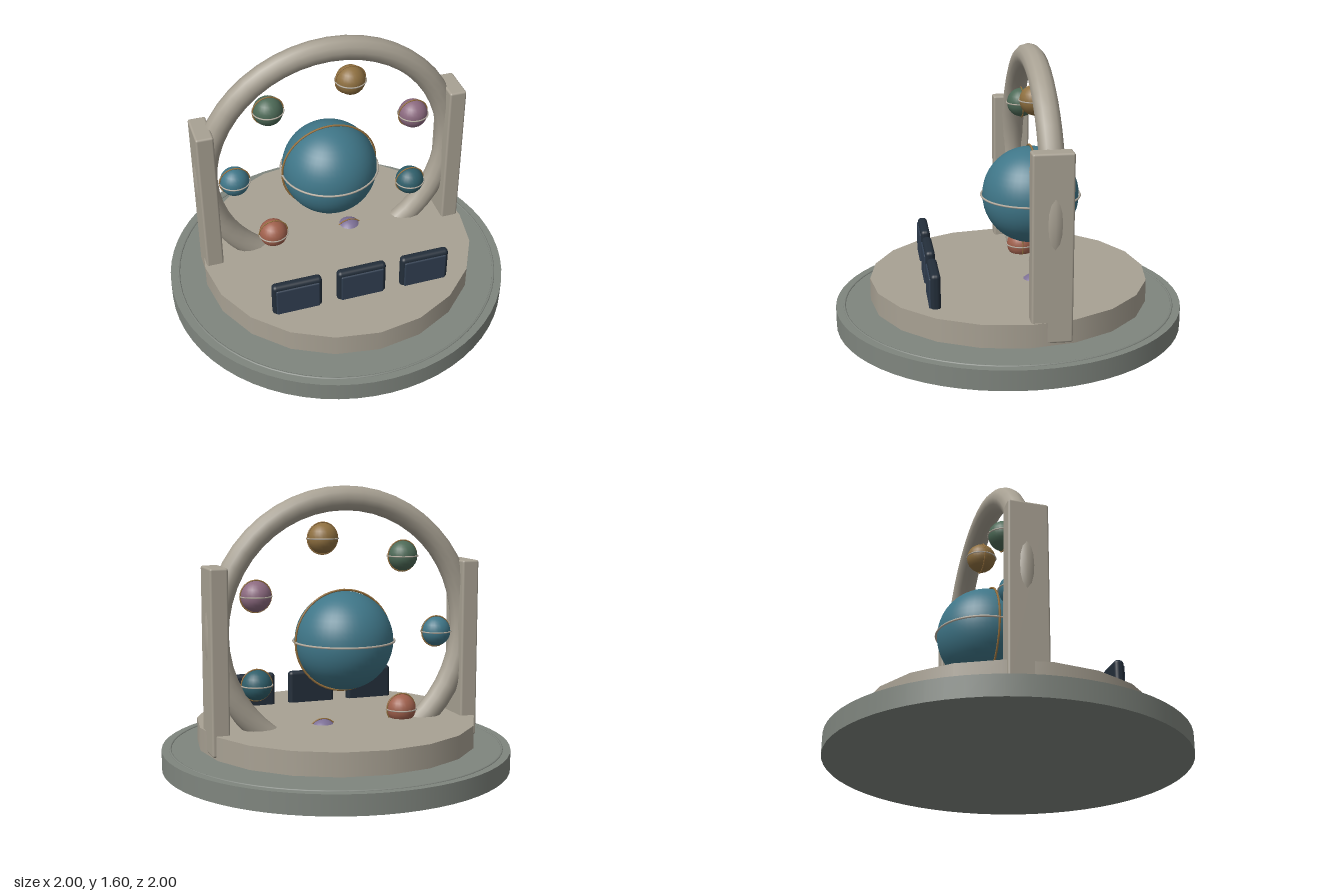
import * as THREE from 'three';
import { RoundedBoxGeometry } from 'three/addons/geometries/RoundedBoxGeometry.js';

const STONE = 0xa8a193, BASE = 0x7f857e, GOLD = 0x9a7440, SILVER = 0xb5ada0;
const ARCH_Z = -0.13;

export function createModel() {
  const root = new THREE.Group();

  function add(name, geometry, color, x = 0, y = 0, z = 0, parent = root) {
    const mesh = new THREE.Mesh(geometry, new THREE.MeshStandardMaterial({ color }));
    mesh.name = name;
    mesh.position.set(x, y, z);
    parent.add(mesh);
    return mesh;
  }

  // Round base with a raised ring near its rim
  add('base', new THREE.CylinderGeometry(1, 1, 0.113, 64), BASE, 0, 0.0565, 0);
  add('baseRing', new THREE.TorusGeometry(0.951, 0.007, 8, 64), BASE, 0, 0.112, 0).rotation.x = Math.PI / 2;

  // Floating platform
  add('platform', new THREE.CylinderGeometry(0.8, 0.8, 0.13, 20), STONE, 0, 0.205, 0);

  // Arch ring running down through the platform into the base
  add('archRing', new THREE.TorusGeometry(0.73, 0.068, 12, 48), STONE, 0, 0.8, ARCH_Z);

  // Side pillars
  for (const s of [1, -1]) {
    add(s > 0 ? 'leftPillar' : 'rightPillar',
      new RoundedBoxGeometry(0.1, 1.02, 0.22, 2, 0.012), STONE, s * 0.735, 0.662, -0.12);
  }

  // Globe wrapped by an upright and a level band
  function globe(name, x, y, radius, bandRadius, tube, color, segments) {
    const group = new THREE.Group();
    group.name = name;
    group.position.set(x, y, ARCH_Z);
    root.add(group);
    add(name + 'Sphere', new THREE.SphereGeometry(radius, segments, segments / 2), color, 0, 0, 0, group);
    const band = new THREE.TorusGeometry(bandRadius, tube, 6, segments);
    add(name + 'UprightBand', band, GOLD, 0, 0, 0, group);
    add(name + 'LevelBand', band, SILVER, 0, 0, 0, group).rotation.x = Math.PI / 2;
  }
  globe('centralGlobe', 0, 0.737, 0.277, 0.284, 0.006, 0x3f7688, 48);

  // Seven small globes spaced evenly on a circle
  const colors = [0x3f7688, 0x4d6a57, 0x8f7040, 0x8c6a80, 0x2f5f6b, 0x7d7096, 0xa0604c];
  colors.forEach((color, i) => {
    const a = Math.PI - i * Math.PI * 2 / 7;
    globe('smallGlobe' + (i + 1), 0.565 * Math.cos(a), 0.76 + 0.565 * Math.sin(a),
      0.085, 0.088, 0.004, color, 24);
  });

  // Three display panels at the front
  [-0.376, 0, 0.376].forEach((x, i) => {
    add('screenFrame' + (i + 1), new RoundedBoxGeometry(0.285, 0.22, 0.055, 3, 0.022), 0x232e3a, x, 0.352, 0.462);
    add('screenFace' + (i + 1), new RoundedBoxGeometry(0.25, 0.18, 0.02, 2, 0.008), 0x303e50, x, 0.347, 0.487);
  });

  return root;
}
